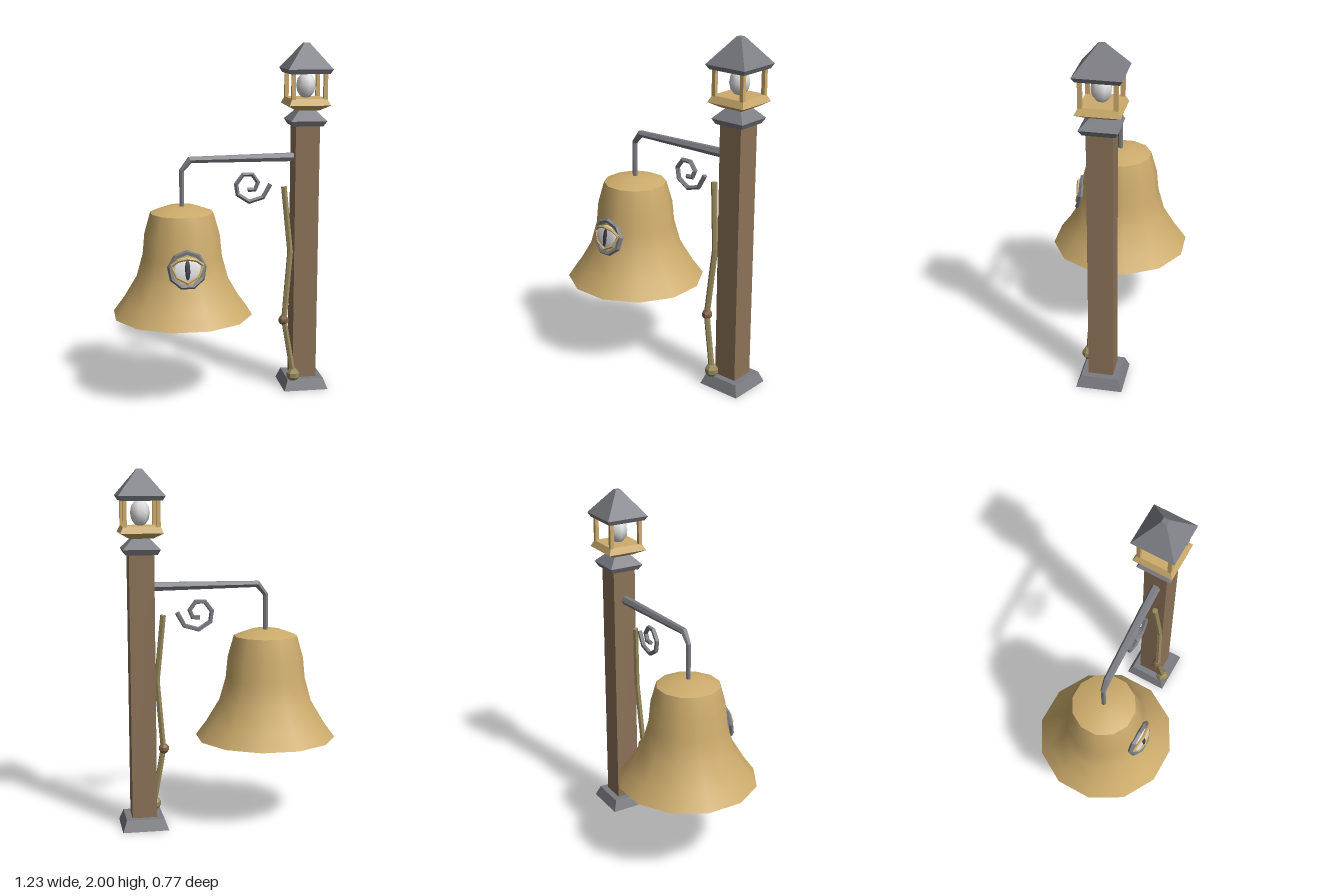
import * as THREE from 'three';
import { toCreasedNormals } from 'three/addons/utils/BufferGeometryUtils.js';

const material = (name, color) => Object.assign(new THREE.MeshStandardMaterial({ color }), { name });

// Polyline curve with mitred corners
class PathCurve extends THREE.Curve {
  constructor(points) { super(); this.points = points; }
  getPoint(t, target = new THREE.Vector3()) {
    const n = this.points.length - 1, i = Math.min(Math.floor(t * n + 1e-6), n - 1);
    return target.lerpVectors(this.points[i], this.points[i + 1], t * n - i);
  }
  getPointAt(t, target) { return this.getPoint(t, target); }
  getTangentAt(t, target = new THREE.Vector3()) {
    const p = this.points, n = p.length - 1, i = Math.round(t * n);
    const step = (a, b) => p[b].clone().sub(p[a]).normalize();
    target.set(0, 0, 0);
    if (i > 0) target.add(step(i - 1, i));
    if (i < n) target.add(step(i, i + 1));
    return target.normalize();
  }
}

const flat = (geometry) => toCreasedNormals(geometry, 0.05);

// Faceted rod along points, one radius per point, closed at both ends
function rod(coords, radii, sides = 6) {
  const pts = coords.map((c) => new THREE.Vector3(...c));
  const beyond = (a, b) => a.clone().add(a.clone().sub(b).setLength(0.001));
  const last = pts.length - 1;
  const path = [beyond(pts[0], pts[1]), ...pts, beyond(pts[last], pts[last - 1])];
  const geo = new THREE.TubeGeometry(new PathCurve(path), path.length - 1, 1, sides);
  const pos = geo.attributes.position, v = new THREE.Vector3();
  for (let k = 0; k < pos.count; k++) {
    const ring = Math.floor(k / (sides + 1)), centre = path[ring];
    const end = ring === 0 || ring === path.length - 1;
    const r = end ? 0 : Array.isArray(radii) ? radii[ring - 1] : radii;
    v.fromBufferAttribute(pos, k).sub(centre).multiplyScalar(r).add(centre);
    pos.setXYZ(k, v.x, v.y, v.z);
  }
  return flat(geo);
}

// Square frustum between two heights
function frustum(bottomWidth, topWidth, y0, y1) {
  const geo = new THREE.CylinderGeometry(topWidth * Math.SQRT1_2, bottomWidth * Math.SQRT1_2, y1 - y0, 4);
  return flat(geo.rotateY(Math.PI / 4).translate(0, (y0 + y1) / 2, 0));
}

export function createModel() {
  const iron = material('iron', 0x7c7d83);
  const wood = material('wood', 0x8c7258);
  const brass = material('brass', 0xcdac6c);
  const rope = material('rope', 0x998a5c);
  const knotBrown = material('knot brown', 0x846448);
  const pale = material('pale glass', 0xe0e0e0);
  const dark = material('dark pupil', 0x3e3e45);

  const model = new THREE.Group();
  model.name = 'bellPost';
  const group = (name, x, y, z) => {
    const g = new THREE.Group();
    g.name = name;
    g.position.set(x, y, z);
    model.add(g);
    return g;
  };
  const add = (parent, name, geo, mat) => {
    const mesh = new THREE.Mesh(geo, mat);
    mesh.name = name;
    parent.add(mesh);
    return mesh;
  };

  // Post with iron foot and cap
  const post = group('post', 0.484, 0, -0.037);
  add(post, 'foot', frustum(0.258, 0.21, 0, 0.063), iron);
  add(post, 'shaft', frustum(0.138, 0.138, 0.06, 1.545), wood);
  add(post, 'capUnderside', frustum(0.17, 0.204, 1.54, 1.57), iron);
  add(post, 'capTop', frustum(0.204, 0.08, 1.57, 1.635), iron);

  // Lantern on top of the post
  const lantern = group('lantern', 0.484, 0, -0.037);
  add(lantern, 'trayUnderside', frustum(0.13, 0.235, 1.628, 1.658), brass);
  add(lantern, 'tray', frustum(0.235, 0.2, 1.658, 1.695), brass);
  for (const x of [-0.091, 0.091]) for (const z of [-0.091, 0.091]) {
    add(lantern, 'lanternBar', frustum(0.022, 0.022, 1.69, 1.84).translate(x, 0, z), brass);
  }
  add(lantern, 'eaves', frustum(0.225, 0.254, 1.832, 1.858), iron);
  add(lantern, 'roof', frustum(0.254, 0.03, 1.858, 2), iron);
  const bulb = add(lantern, 'bulb', new THREE.SphereGeometry(1, 7, 6), pale);
  bulb.scale.set(0.056, 0.074, 0.056);
  bulb.position.y = 1.765;

  // Bracket arm and the scroll below it
  add(model, 'bracketArm', rod(
    [[-0.228, 1.08, 0], [-0.228, 1.3, 0], [-0.18, 1.36, 0], [0.43, 1.36, -0.032]],
    [0.014, 0.015, 0.021, 0.027]), iron);
  const scroll = [[0.28, 1.21], [0.238, 1.135], [0.158, 1.112], [0.092, 1.155], [0.083, 1.215], [0.123, 1.268],
    [0.175, 1.268], [0.209, 1.222], [0.192, 1.182], [0.152, 1.18]];
  add(model, 'scroll', rod(scroll.map(([x, y]) => [x, y, -0.015]), 0.014, 5), iron);

  // Twelve-sided bell: outer wall, inner wall, lip, crown
  const bell = group('bell', -0.228, 0, 0);
  const wall = [[0.386, 0.48], [0.326, 0.565], [0.254, 0.69], [0.219, 0.82], [0.208, 0.94], [0.174, 1.065]];
  const ringTurn = (profile) => new THREE.LatheGeometry(
    profile.map(([r, y]) => new THREE.Vector2(r / Math.cos(Math.PI / 12), y)), 12).rotateY(Math.PI / 12);
  const inner = wall.map(([r, y]) => [r - 0.009, y]).reverse();
  add(bell, 'bellWall', ringTurn(wall), brass);
  add(bell, 'bellInside', ringTurn([[0, 1.064], ...inner]), brass);
  add(bell, 'bellLip', ringTurn([[0.377, 0.48], [0.386, 0.48]]), brass);
  add(bell, 'bellCrown', ringTurn([[0.174, 1.065], [0.082, 1.1], [0, 1.1]]), brass);

  // Clapper
  add(bell, 'clapperRod', rod([[0, 1.06, 0], [0, 0.47, 0]], 0.012), iron);
  add(bell, 'clapperBall', flat(new THREE.SphereGeometry(0.06, 7, 5)), iron).position.y = 0.455;

  // Eye on the bell front, bent to follow the wall
  const eye = group('eye', -0.228, 0.79, 0.243);
  eye.rotation.x = -0.17;
  const rim = new THREE.TorusGeometry(0.096, 0.015, 5, 9).rotateZ(Math.PI / 18);
  const rp = rim.attributes.position;
  for (let i = 0; i < rp.count; i++) rp.setZ(i, rp.getZ(i) - 1.8 * rp.getX(i) ** 2);
  add(eye, 'eyeRim', flat(rim), iron);
  add(eye, 'eyeball', new THREE.SphereGeometry(1, 12, 8), pale).scale.set(0.08, 0.07, 0.014);
  add(eye, 'upperLid', rod([[-0.088, 0.025, -0.002], [-0.05, 0.052, 0.012], [0, 0.062, 0.022],
    [0.05, 0.052, 0.012], [0.088, 0.025, -0.002]], 0.009, 5), brass);
  add(eye, 'lowerLid', rod([[-0.088, 0.025, -0.002], [-0.06, -0.04, 0.004], [0, -0.072, 0.008],
    [0.06, -0.04, 0.004], [0.088, 0.025, -0.002]], 0.008, 5), brass);
  const pupil = add(eye, 'pupil', new THREE.SphereGeometry(1, 8, 8), dark);
  pupil.scale.set(0.015, 0.055, 0.008);
  pupil.position.z = 0.012;

  // Pull rope with a knot and an end ball
  add(model, 'pullRope', rod([[0.357, 1.195, 0], [0.392, 0.82, 0.025], [0.357, 0.42, 0.045], [0.412, 0.09, 0.06]],
    0.017), rope);
  add(model, 'ropeKnot', flat(new THREE.SphereGeometry(0.031, 7, 5)), knotBrown).position.set(0.355, 0.42, 0.04);
  add(model, 'ropeEnd', flat(new THREE.SphereGeometry(0.04, 7, 5)), rope).position.set(0.41, 0.092, 0.06);

  return model;
}
